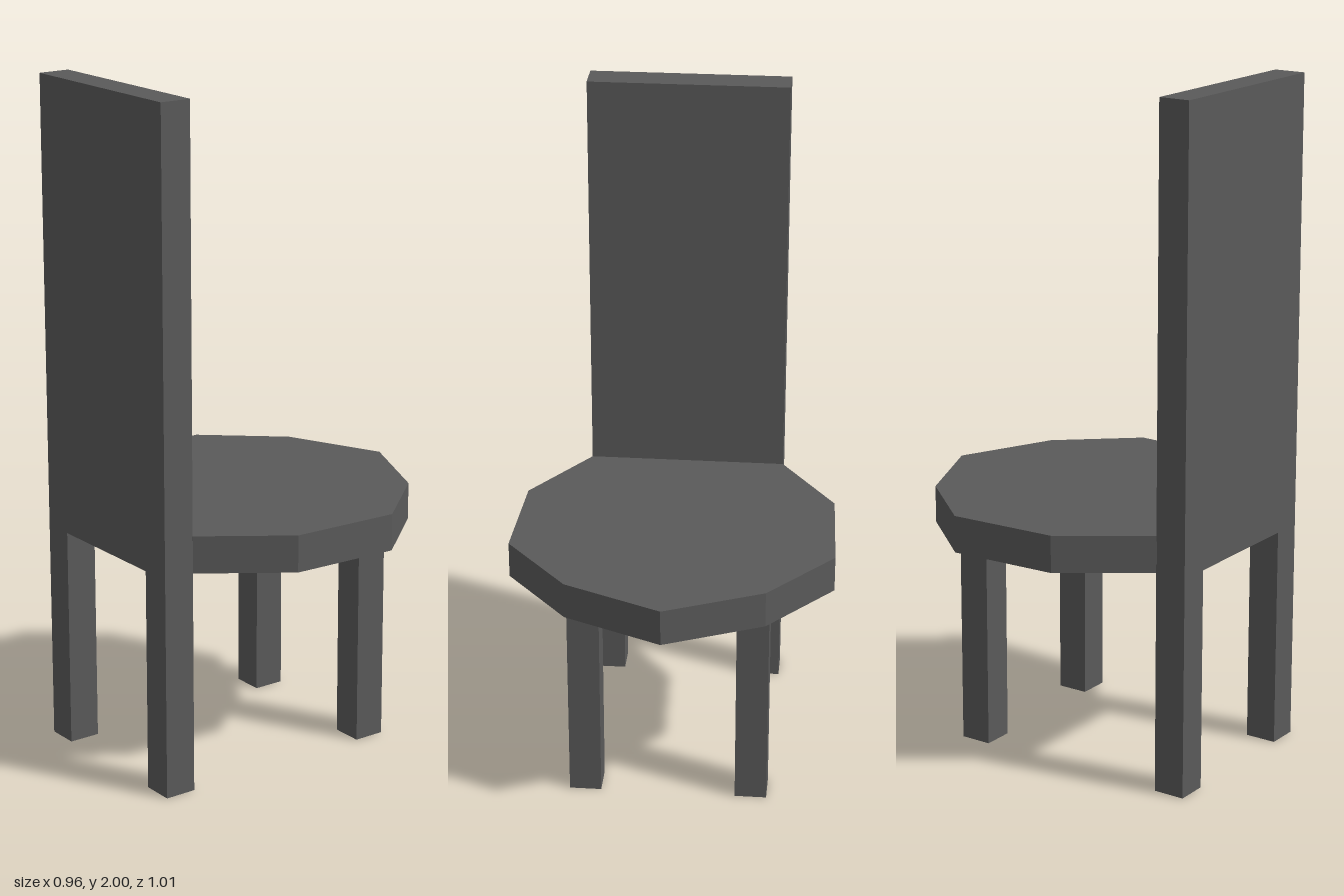
import * as THREE from 'three';

export function createModel() {
  const chair = new THREE.Group();
  chair.name = 'chair';
  const grey = new THREE.MeshStandardMaterial({ color: 0x5a5a5a, side: THREE.DoubleSide });
  grey.name = 'dark grey';

  const add = (name, geometry, x, y, z) => {
    const mesh = new THREE.Mesh(geometry, grey);
    mesh.name = name;
    mesh.position.set(x, y, z);
    chair.add(mesh);
  };

  const seatBottom = 0.66, seatTop = 0.77, half = 0.297, legSize = 0.095;
  const backZ = 0.457, frontZ = -0.236;

  // Seat: mirrored nine-sided outline, straight along the backrest
  const side = [[0.297, 0.409], [0.466, 0.168], [0.48, -0.16], [0.29, -0.38]];
  const outline = [...side, [0, -0.507], ...side.map(([x, z]) => [-x, z]).reverse()];
  const shape = new THREE.Shape(outline.map(([x, z]) => new THREE.Vector2(x, -z)));
  const seat = new THREE.ExtrudeGeometry(shape, { depth: seatTop - seatBottom, bevelEnabled: false });
  seat.rotateX(-Math.PI / 2);
  add('seat', seat, 0, seatBottom, 0);

  // Tall backrest panel
  const backHeight = 2 - seatBottom;
  add('backrest', new THREE.BoxGeometry(half * 2, backHeight, legSize), 0, seatBottom + backHeight / 2, backZ);

  // Square legs, hollow at the foot: the box without its bottom face
  const leg = new THREE.BoxGeometry(legSize, seatBottom, legSize);
  const faces = Array.from(leg.index.array);
  faces.splice(18, 6);
  leg.setIndex(faces);
  leg.clearGroups();
  for (const [end, z] of [['front', frontZ], ['back', backZ]]) {
    for (const [hand, s] of [['Left', 1], ['Right', -1]]) {
      add(`${end}${hand}Leg`, leg, s * (half - legSize / 2), seatBottom / 2, z);
    }
  }
  return chair;
}
